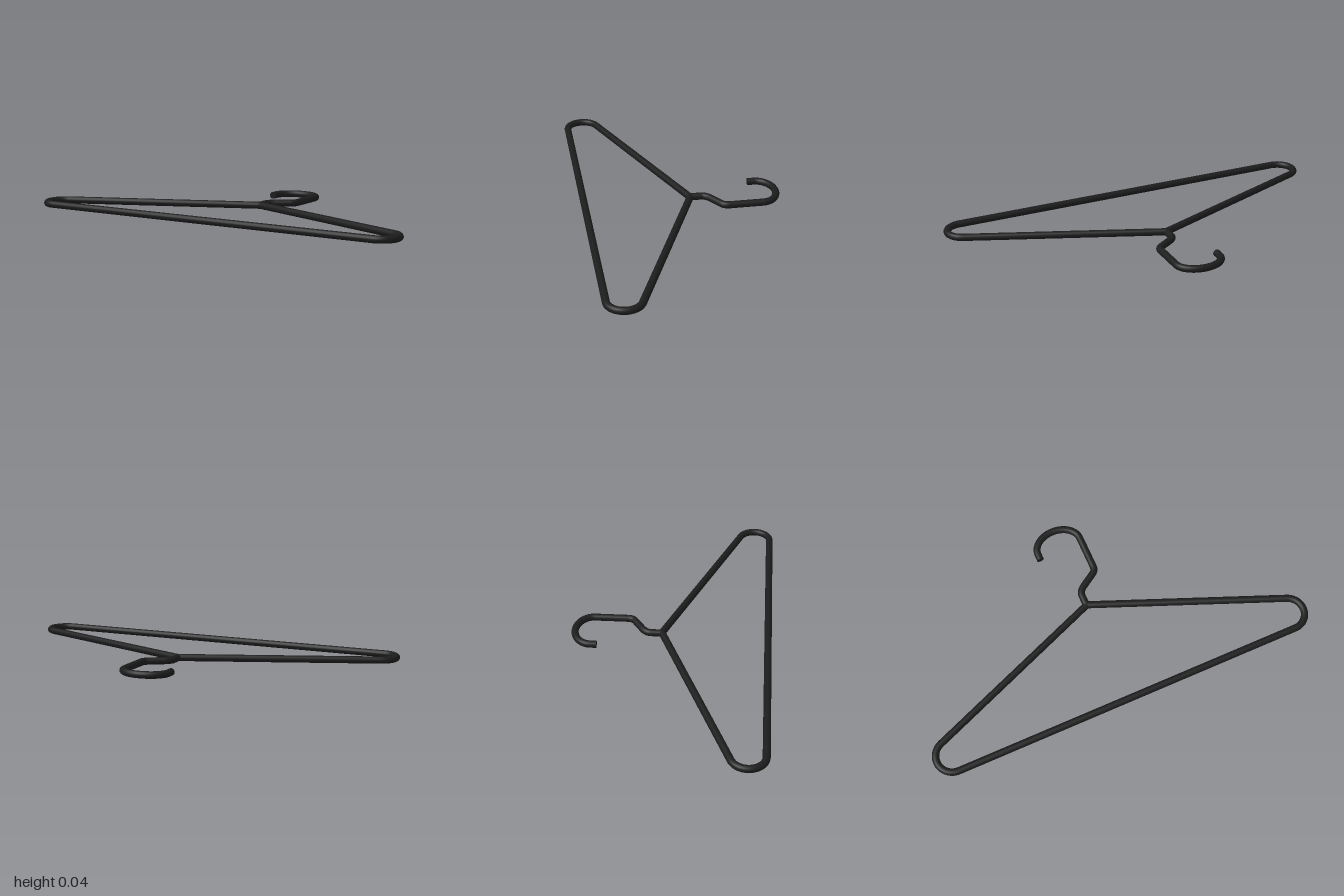
import * as THREE from 'three';

const R = 0.018; // wire radius

// Lifts a flat path (x, z) into the horizontal plane at wire height.
class FlatCurve extends THREE.Curve {
  constructor(path) {
    super();
    this.path = path;
    this.arcLengthDivisions = 600;
  }
  getPoint(t, target = new THREE.Vector3()) {
    const p = this.path.getPoint(t);
    return target.set(p.x, R, p.y);
  }
}

export function createModel() {
  const group = new THREE.Group();
  group.name = 'coatHanger';
  const material = new THREE.MeshStandardMaterial({ color: 0x1c1c1c });

  const add = (name, geometry) => {
    const mesh = new THREE.Mesh(geometry, material);
    mesh.name = name;
    group.add(mesh);
    return mesh;
  };
  const wire = (name, path, segments) =>
    add(name, new THREE.TubeGeometry(new FlatCurve(path), segments, R, 16, false));

  // Frame: sloping shoulders, round ends and a straight bottom bar
  const apexZ = -0.047, endX = 0.9, endZ = 0.4, endR = 0.082;
  const slope = THREE.MathUtils.degToRad(68.2);
  const frame = new THREE.Path();
  frame.moveTo(0, apexZ);
  frame.lineTo(endX + endR * Math.cos(slope), endZ - endR * Math.sin(slope));
  frame.absarc(endX, endZ, endR, -slope, Math.PI / 2, false);
  frame.lineTo(-endX, endZ + endR);
  frame.absarc(-endX, endZ, endR, Math.PI / 2, Math.PI + slope, false);
  frame.lineTo(0, apexZ);
  wire('frame', frame, 400);

  // Joint where both shoulders and the stem meet
  add('joint', new THREE.SphereGeometry(R, 16, 12)).position.set(0, R, apexZ);

  // Hook: short stem, sideways jog, upright and rounded crook
  const hookX = -0.003, hookR = 0.115, crookZ = -0.395, tipZ = -0.363;
  const hook = new THREE.Path();
  hook.moveTo(hookX, apexZ);
  hook.lineTo(hookX, -0.1);
  hook.quadraticCurveTo(hookX, -0.128, 0.03, -0.148);
  hook.lineTo(0.09, -0.187);
  hook.quadraticCurveTo(hookX + hookR, -0.2, hookX + hookR, -0.225);
  hook.lineTo(hookX + hookR, crookZ);
  hook.absellipse(hookX, crookZ, hookR, 0.087, 0, -Math.PI, true, 0);
  hook.lineTo(hookX - hookR, tipZ);
  wire('hook', hook, 200);

  // Flat cap closing the hook's tip, facing +z
  add('hookTip', new THREE.CircleGeometry(R, 16)).position.set(hookX - hookR, R, tipZ);

  return group;
}
